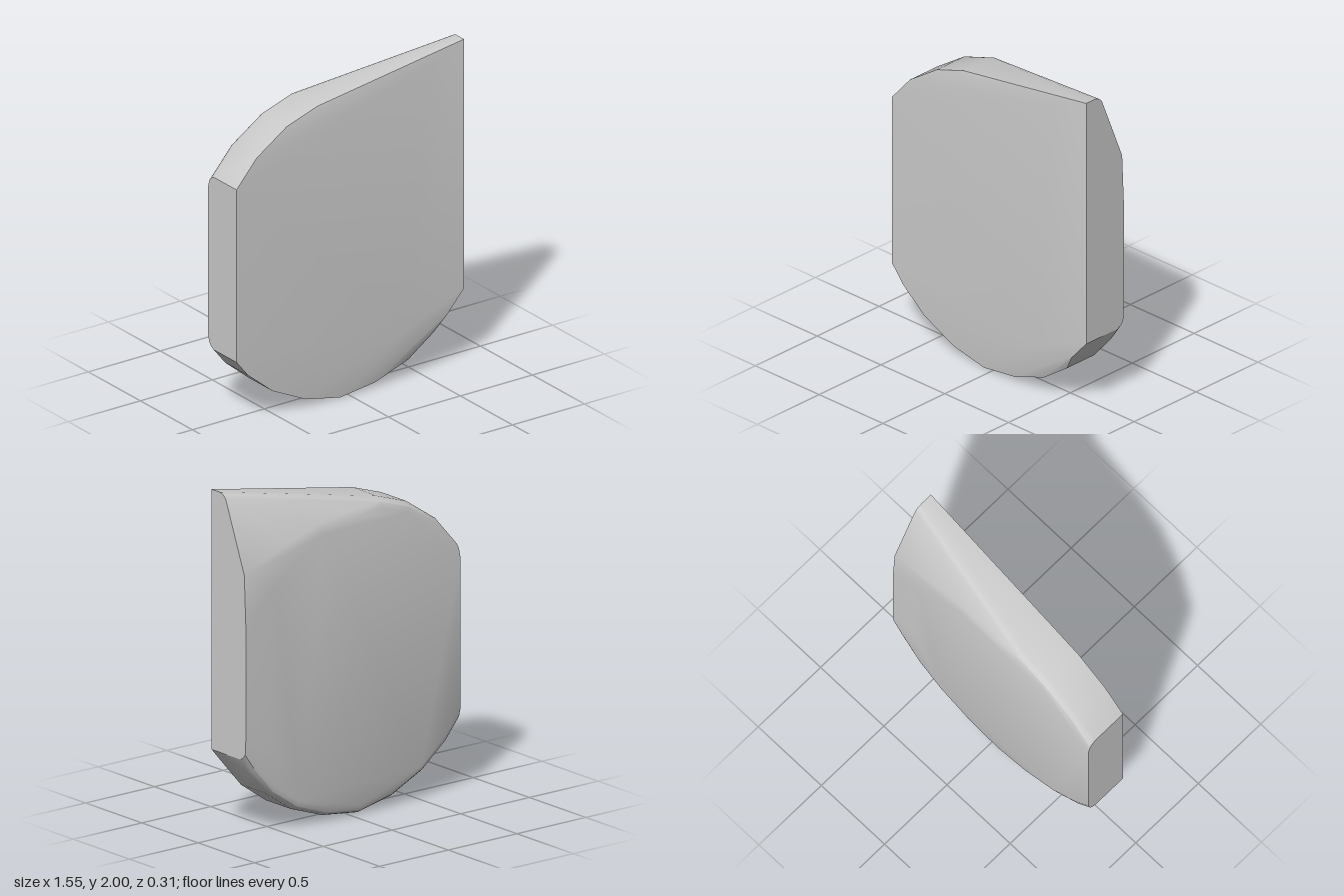
import * as THREE from 'three';
import { ConvexGeometry } from 'three/addons/geometries/ConvexGeometry.js';
import { toCreasedNormals } from 'three/addons/utils/BufferGeometryUtils.js';

// Curved top-left shoulder and rounded bottom, as seen from the front
const shoulder = [[-0.78, 1.46], [-0.64, 1.62], [-0.43, 1.76], [-0.22, 1.83]];
const bottom = [[-0.78, 0.4], [-0.7, 0.3], [-0.53, 0.16], [-0.3, 0.05], [-0.06, 0],
  [0.18, 0.03], [0.41, 0.11], [0.59, 0.235], [0.72, 0.385], [0.775, 0.47]];

// Move an outline point towards the centre; points on the flat sides slide along them
function inset([x, y], d) {
  const dx = -x, dy = 0.93 - y, l = Math.hypot(dx, dy);
  const onSide = Math.abs(x) > 0.77;
  return onSide ? [x, y + Math.sign(dy) * d * 1.5] : [x + dx / l * d, y + dy / l * d];
}

export function createModel() {
  const group = new THREE.Group();
  const points = [];
  const add = (x, y, z) => points.push(new THREE.Vector3(x, y, z));

  // Side wall, rolled over into the back face: [z, inset]
  const roll = [[-0.1, 0], [-0.125, 0.009], [-0.143, 0.024], [-0.155, 0.055]];
  for (const p of [...shoulder, ...bottom]) {
    const right = p[0] > 0.7;
    add(p[0], p[1], right && p[0] > 0.77 ? 0.155 : 0.12);
    for (const [z, d] of roll) {
      const [x, y] = inset(p, d);
      add(x, y, right ? Math.max(z, -0.147) : z);
    }
  }

  // Gently raised front face
  for (const [x, y] of [[0.775, 2], [0.5, 1.89], [0.41, 0.33], [0.66, 0.34]]) add(x, y, 0.155);

  // Pointed top-right corner, blunted towards the back
  add(0.775, 2, 0.08);
  add(0.775, 1.99, 0.052);
  add(0.775, 1.97, 0.03);

  // Sloping back of the pointed corner and the back face below it
  for (const [x, y] of [[0.775, 1.56], [0.46, 1.685], [0.24, 1.76], [0, 1.795]]) add(x, y, -0.135);
  for (const [x, y] of [[0.0, 1.755], [0.22, 1.7], [0.42, 1.6], [0.58, 1.45]]) add(x, y, -0.155);
  add(0.775, 1.27, -0.148);
  add(0.775, 0.6, -0.148);
  add(0.6, 0.6, -0.155);

  const geometry = toCreasedNormals(new ConvexGeometry(points), 0.5);
  const body = new THREE.Mesh(geometry, new THREE.MeshStandardMaterial({ color: 0xcccccc }));
  body.name = 'plateBody';
  group.add(body);
  return group;
}
